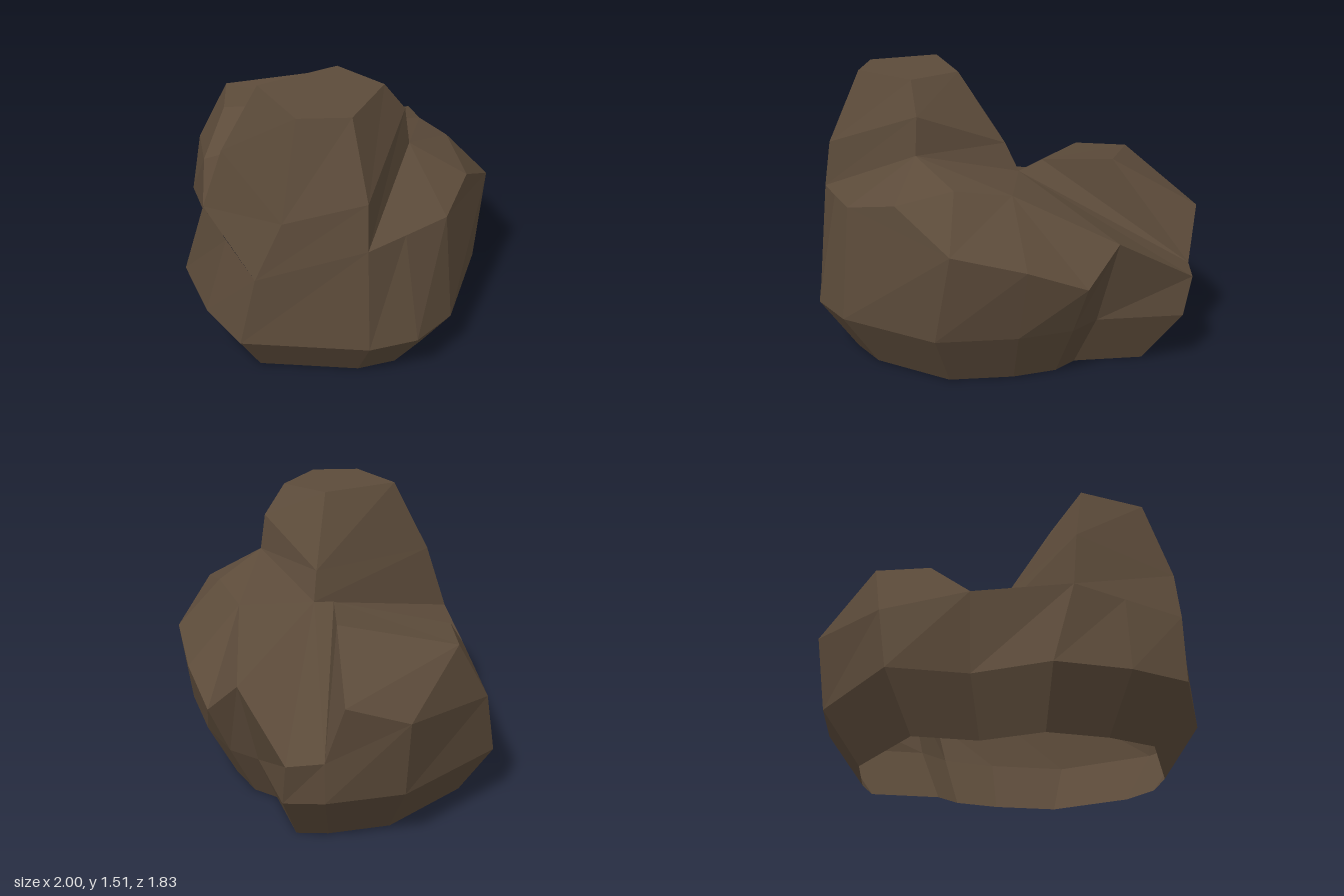
import * as THREE from 'three';

// Non-indexed faceted mesh from polygons, each fanned from its first corner
function facets(name, polygons, material) {
  const points = [];
  for (const p of polygons) {
    for (let i = 1; i < p.length - 1; i++) points.push(...p[0], ...p[i], ...p[i + 1]);
  }
  const geometry = new THREE.BufferGeometry();
  geometry.setAttribute('position', new THREE.Float32BufferAttribute(points, 3));
  geometry.computeVertexNormals();
  const mesh = new THREE.Mesh(geometry, material);
  mesh.name = name;
  return mesh;
}

// Closed band of quads between two loops with the same number of corners
function band(lower, upper) {
  return lower.map((p, i) => {
    const j = (i + 1) % lower.length;
    return [p, lower[j], upper[j], upper[i]];
  });
}

export function createModel() {
  const rock = new THREE.MeshStandardMaterial({
    color: 0x5c4b3a, flatShading: true, side: THREE.DoubleSide,
  });
  rock.name = 'brown rock';

  // Upper edge of the walls, counterclockwise from the front left
  const L = [-0.54, 0.75, 0.43], H = [-0.11, 0.78, 0.73], HA = [0.17, 0.741, 0.782];
  const A = [0.49, 0.7, 0.84], B = [0.85, 0.88, 0.42], BC = [0.88, 0.895, 0.2];
  const C = [0.91, 0.91, -0.05], U = [0.63, 0.79, -0.65], V = [0.29, 0.7, -0.82];
  const T = [-0.01, 0.58, -0.91], R = [-0.22, 0.77, -0.87], P = [-0.66, 0.52, -0.92];
  const Q = [-0.76, 0.52, -0.76], M = [-1, 0.71, -0.42], N = [-0.93, 0.64, 0.2];
  const wallTop = [L, H, HA, A, B, BC, C, U, V, T, R, P, Q, M, N];

  // Widest outline, and the smaller open foot under it
  const outline = [
    [-0.53, 0.43], [-0.27, 0.77], [0.11, 0.89], [0.44, 0.91], [0.9, 0.44],
    [1, 0.2], [0.97, -0.07], [0.67, -0.55], [0.28, -0.72], [-0.01, -0.78],
    [-0.19, -0.73], [-0.62, -0.91], [-0.76, -0.76], [-0.95, -0.4], [-0.92, 0.28],
  ];
  const rim = outline.map(([x, z]) => [x, 0.3, z]);
  const foot = outline.map(([x, z]) => [x * 0.8, 0, z * 0.8]);

  // Points on the shoulders
  const E = [0.55, 1.15, -0.12], G = [-0.02, 1, -0.2], S = [0.21, 1, -0.53];
  const Z = [0.5, 1.05, -0.45], Y = [0.77, 0.98, -0.33];
  const J = [-0.65, 0.96, 0.2], K = [-0.88, 0.96, 0.02];
  const X = [-0.47, 1.06, -0.43], X2 = [-0.17, 1.04, -0.19], W = [-0.84, 0.82, -0.7];

  const sideLump = [
    [L, H, G], [L, G, X2, J], [K, J, X2, X], [K, X, W, M],
    [N, L, J, K], [N, K, M], [M, W, Q], [Q, W, X, X2, G],
  ];
  const backSlope = [
    [G, E, S, R, P, Q], [S, Z, U, V, T, R], [E, Z, S],
    [E, Y, Z], [Z, Y, U], [C, U, Y], [E, B, BC, C, Y],
  ];

  // Tall peak lofted through three loops
  const peakBase = [H, A, B, E, G];
  const peakMiddle = [
    [-0.03, 1.13, 0.65], [0.56, 1.02, 0.72], [0.82, 1.13, 0.4],
    [0.53, 1.35, -0.1], [0.03, 1.15, -0.14],
  ];
  const peakTop = [[0.11, 0.51], [0.49, 0.57], [0.65, 0.36], [0.5, 0.02], [0.2, 0.07]]
    .map(([x, z]) => [x, 1.515, z]);

  const group = new THREE.Group();
  group.name = 'boulder';
  group.add(
    facets('foot', band(foot, rim), rock),
    facets('walls', band(rim, wallTop), rock),
    facets('sideLump', sideLump, rock),
    facets('backSlope', backSlope, rock),
    facets('peak', [...band(peakBase, peakMiddle), ...band(peakMiddle, peakTop), peakTop], rock),
  );
  return group;
}
